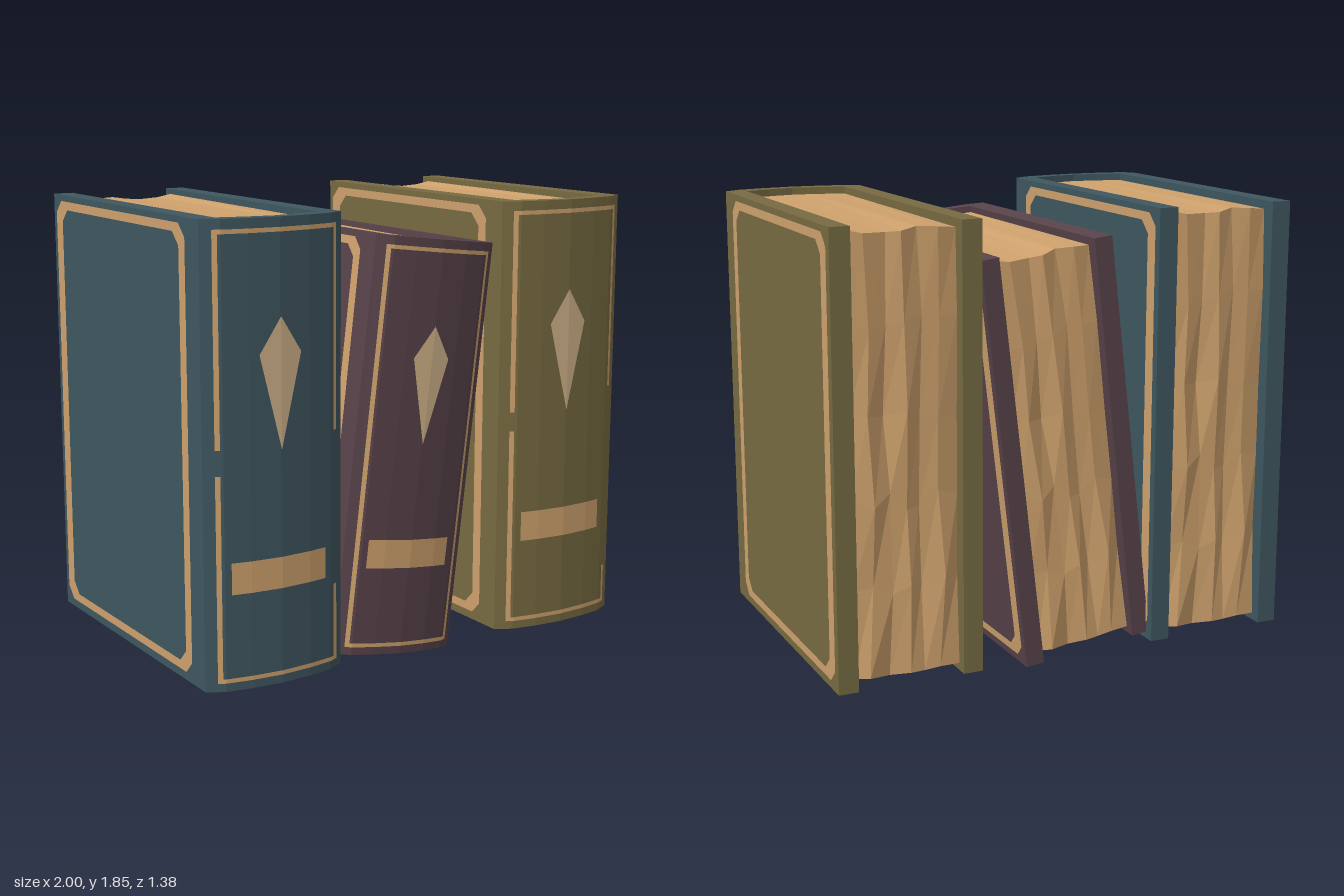
import * as THREE from 'three';

const mat = (name, color) => Object.assign(new THREE.MeshStandardMaterial({ color }), { name });

const H = 1.81, HALF = 0.305, BACK = -0.69, PAGE = 0.222;
const OUTER = [[-HALF, 0.625], [-0.235, 0.662], [-0.13, 0.68], [0, 0.69], [0.13, 0.68], [0.235, 0.662], [HALF, 0.625]];
const INNER = [[-PAGE, 0.595], [-0.11, 0.625], [0, 0.642], [0.11, 0.625], [PAGE, 0.595]];

// height of a piecewise linear profile at x
function profileZ(profile, x) {
  for (let i = 1; i < profile.length; i++) {
    const [x0, z0] = profile[i - 1], [x1, z1] = profile[i];
    if (x <= x1) return z0 + (z1 - z0) * (x - x0) / (x1 - x0);
  }
  return profile[profile.length - 1][1];
}

// thin inlay that follows the curved spine, between lo(x) and hi(x)
function spineInlay(x0, x1, lo, hi, extra = []) {
  const xs = [x0, ...OUTER.map(p => p[0]).concat(extra).filter(x => x > x0 && x < x1), x1];
  xs.sort((a, b) => a - b);
  const pos = [];
  for (let i = 1; i < xs.length; i++) {
    const a = xs[i - 1], b = xs[i];
    const za = profileZ(OUTER, a) + 0.004, zb = profileZ(OUTER, b) + 0.004;
    pos.push(a, lo(a), za, b, lo(b), zb, b, hi(b), zb, a, lo(a), za, b, hi(b), zb, a, hi(a), za);
  }
  const g = new THREE.BufferGeometry();
  g.setAttribute('position', new THREE.Float32BufferAttribute(pos, 3));
  g.computeVertexNormals();
  return g;
}
const spineRect = (x0, x1, y0, y1) => spineInlay(x0, x1, () => y0, () => y1);

// one U-shaped binding: two boards and a rounded spine
function bindingGeometry() {
  const outline = [[-HALF, BACK], ...OUTER, [HALF, BACK], [PAGE, BACK], ...INNER.slice().reverse(), [-PAGE, BACK]];
  const shape = new THREE.Shape(outline.map(([x, z]) => new THREE.Vector2(x, -z)));
  const g = new THREE.ExtrudeGeometry(shape, { depth: H, bevelEnabled: false });
  return g.rotateX(-Math.PI / 2);
}

// page block with an uneven, ridged fore edge
function pagesGeometry() {
  let seed = 7;
  const rnd = () => (seed = (seed * 16807) % 2147483647) / 2147483647 - 0.5;
  const base = new THREE.BoxGeometry(PAGE * 2, H - 0.06, 1, 6, 5, 1);
  const p = base.attributes.position;
  const moved = new Map();
  for (let i = 0; i < p.count; i++) {
    const x = p.getX(i), y = p.getY(i), z = p.getZ(i);
    const key = [x, y, z].map(v => Math.round(v * 1000)).join();
    if (!moved.has(key)) {
      const front = z > 0, edge = Math.abs(x) > PAGE - 0.01;
      const col = Math.round((x + PAGE) / (PAGE / 3));
      const cap = Math.abs(y) > H / 2 - 0.05;
      const nz = front ? profileZ(INNER, x) : -0.635 - (col % 2 ? 0.022 : 0) + rnd() * 0.025;
      const ny = y + (front ? 0 : cap ? rnd() * 0.02 : rnd() * 0.08);
      const nx = x + (front || edge ? 0 : rnd() * 0.035);
      moved.set(key, [nx, ny + H / 2, nz]);
    }
    p.setXYZ(i, ...moved.get(key));
  }
  const g = base.toNonIndexed();
  g.computeVertexNormals();
  return g;
}

// rectangle with clipped corners
function clipped(w, h, c, dx, dy) {
  return [[-w + c, -h], [w - c, -h], [w, -h + c], [w, h - c], [w - c, h], [-w + c, h], [-w, h - c], [-w, -h + c]]
    .map(([x, y]) => new THREE.Vector2(x + dx, y + dy));
}

// board frame, facing +x or -x
function frameGeometry(side) {
  const outZ = -0.07, inZ = -0.065;
  const shape = new THREE.Shape(clipped(0.59, 0.875, 0.05, -side * outZ, 0.91));
  shape.holes.push(new THREE.Path(clipped(0.535, 0.84, 0.05, -side * inZ, 0.91)));
  return new THREE.ShapeGeometry(shape).rotateY(side * Math.PI / 2).translate(side * (HALF + 0.003), 0, 0);
}

export function createModel() {
  const model = new THREE.Group();
  model.name = 'books';
  const paper = mat('paper and gilt tan', 0xcfa26d);
  const pale = mat('pale gilt', 0xd2b48a);
  const binding = bindingGeometry(), pages = pagesGeometry();
  const frames = [-1, 1].map(frameGeometry);

  // spine decorations
  const band = spineRect(-0.21, 0.205, 0.385, 0.51);
  const w = 0.09, t = x => 1 - Math.abs(x) / w;
  const diamond = spineInlay(-w, w, x => 1.30 - 0.37 * t(x), x => 1.30 + 0.14 * t(x));
  const topLine = spineRect(-0.265, 0.27, 1.755, 1.772);
  const bottomLine = spineRect(-0.265, 0.27, 0.035, 0.052);

  function addBook(name, material, breaks) {
    const book = new THREE.Group();
    book.name = name;
    const add = (part, geo, m) => {
      const mesh = new THREE.Mesh(geo, m);
      mesh.name = part;
      book.add(mesh);
    };
    add('binding', binding, material);
    add('pages', pages, paper);
    frames.forEach((f, i) => add(i ? 'leftBoardFrame' : 'rightBoardFrame', f, paper));
    add('spineBand', band, paper);
    add('spineDiamond', diamond, pale);
    add('spineTopLine', topLine, paper);
    add('spineBottomLine', bottomLine, paper);
    // side lines, each a list of [from, to] runs
    breaks.forEach((runs, i) => runs.forEach(([y0, y1]) => {
      const x = i ? 0.252 : -0.265;
      add('spineSideLine', spineRect(x, x + 0.018, y0, y1), paper);
    }));
    model.add(book);
    return book;
  }

  const teal = addBook('tealBook', mat('teal cover', 0x3f5760),
    [[[0.045, 0.85], [0.95, 1.765]], [[0.045, 0.35], [0.97, 1.765]]]);
  teal.position.set(-0.695, 0.04, 0);
  const olive = addBook('oliveBook', mat('olive cover', 0x776b41),
    [[[0.045, 0.86], [0.94, 1.765]], [[0.045, 0.2], [1.0, 1.765]]]);
  olive.position.set(0.685, 0.04, 0);
  // smaller leaning book
  const plum = addBook('plumBook', mat('plum cover', 0x58434a),
    [[[0.045, 1.765]], [[0.045, 1.765]]]);
  plum.scale.setScalar(0.935);
  plum.rotation.z = -0.12;
  plum.position.set(-0.12, 0.035, 0);
  return model;
}
